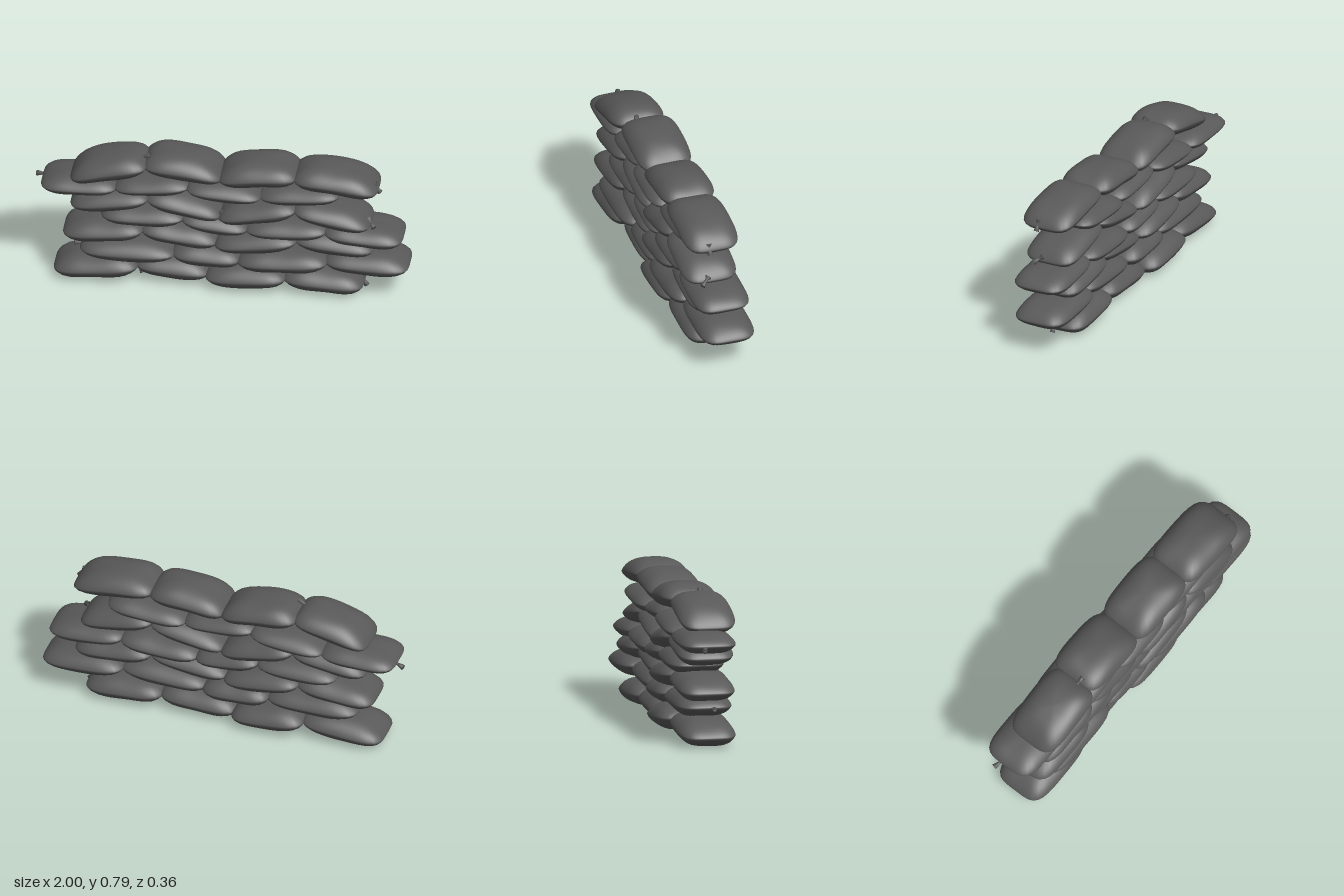
import * as THREE from 'three';
import { mergeVertices } from 'three/addons/utils/BufferGeometryUtils.js';

// Courses from the ground up: x and y of the joints between bags, z of each bag, half thickness, arch of the midline
const COURSES = [
  { x: [-0.89, -0.45, -0.07, 0.34, 0.76], y: [0.06, 0.1, 0.07, 0.09, 0.065], z: [0.01, -0.03, 0.01, -0.01], thick: 0.073, arch: 0.003 },
  { x: [-0.75, -0.25, 0.1, 0.56, 1], y: [0.2, 0.2, 0.185, 0.21, 0.19], z: [0.02, 0, 0.02, -0.015], thick: 0.069, arch: 0 },
  { x: [-0.84, -0.42, -0.02, 0.4, 0.82], y: [0.29, 0.33, 0.28, 0.335, 0.295], z: [0.015, -0.01, 0.02, -0.01], thick: 0.068, arch: 0 },
  { x: [-0.64, -0.2, 0.14, 0.56, 0.97], y: [0.41, 0.42, 0.38, 0.4, 0.37], z: [0, 0, 0, 0.005], thick: 0.063, arch: -0.004 },
  { x: [-0.8, -0.39, 0, 0.4, 0.8], y: [0.47, 0.53, 0.45, 0.53, 0.455], z: [0.015, 0, 0.02, 0.02], thick: 0.067, arch: 0.003 },
  { x: [-0.96, -0.56, -0.17, 0.21, 0.64], y: [0.565, 0.575, 0.615, 0.59, 0.62], z: [-0.005, -0.01, 0.015, -0.005], thick: 0.059, arch: 0 },
  { x: [-0.8, -0.4, 0, 0.4, 0.84], y: [0.635, 0.73, 0.68, 0.72, 0.67], z: [0.025, 0.005, 0.012, 0.022], thick: 0.073, arch: 0.018 },
];
const OVERLAP = 0.014;

// Tied necks: position, then direction
const TIES = [
  [0.745, 0.075, 0, 0.5, -0.9, 0], [-0.44, 0.08, 0.03, 0.4, -0.9, 0.2],
  [-0.735, 0.195, 0.04, -1, 0.1, 0.2], [0.79, 0.468, 0.055, 0.5, -0.4, 0.6],
  [-0.02, 0.465, 0.07, 0.7, 0.2, 0.5], [-0.95, 0.56, -0.035, -1, -0.2, -0.3],
  [-0.42, 0.755, 0.05, 0.9, 0.5, 0.1], [0.82, 0.69, 0.055, 0.5, -0.8, 0],
];

// A pillow: rounded-rectangle plan, domed above and below, bent along its midline
function bagGeometry(length, rise, thick, arch, seed) {
  let g = new THREE.SphereGeometry(1, 48, 24);
  g.deleteAttribute('uv');
  g.deleteAttribute('normal');
  g = mergeVertices(g, 1e-5);
  const p = g.attributes.position;
  const n = 4.5;
  for (let i = 0; i < p.count; i++) {
    const r = Math.min(1, Math.hypot(p.getX(i), p.getZ(i)));
    const a = Math.atan2(p.getZ(i), p.getX(i));
    const c = Math.cos(a), s = Math.sin(a);
    const reach = r / Math.pow(Math.abs(c) ** n + Math.abs(s) ** n, 1 / n);
    const u = c * reach, v = s * reach;
    const dome = Math.pow(Math.max(0, 1 - r ** 3.2), 0.72);
    const side = Math.abs(p.getY(i)) < 1e-6 ? 0 : Math.sign(p.getY(i));
    const dent = 1 - 0.05 * r * (1 + Math.sin(5 * u + 3 * v + seed));
    const y = rise / 2 * u + arch * (1 - u * u) + side * thick * dome * dent;
    p.setXYZ(i, u * length / 2, y, v * 0.153 * (1 - 0.03 * u * u));
  }
  g.computeVertexNormals();
  return g;
}

export function createModel() {
  const group = new THREE.Group();
  group.name = 'sandbagWall';
  const cloth = new THREE.MeshStandardMaterial({ color: 0x595959, side: THREE.DoubleSide });
  cloth.name = 'darkGreyCloth';

  // Staggered courses of four bags, each overlapping its neighbours
  COURSES.forEach(({ x, y, z, thick, arch }, j) => {
    const course = new THREE.Group();
    course.name = `course${j + 1}`;
    z.forEach((depth, i) => {
      const x0 = x[i] - (i > 0 ? OVERLAP : 0);
      const x1 = x[i + 1] + (i < 3 ? OVERLAP : 0);
      const geometry = bagGeometry(x1 - x0, y[i + 1] - y[i], thick, arch, j * 2.3 + i * 1.7);
      const bag = new THREE.Mesh(geometry, cloth);
      bag.name = `sandbag${i + 1}`;
      bag.position.set((x0 + x1) / 2, (y[i] + y[i + 1]) / 2, depth);
      course.add(bag);
    });
    group.add(course);
  });

  // Gathered necks that flare beyond the tie
  const profile = [[0.018, -0.012], [0.01, 0.004], [0.007, 0.012], [0.01, 0.022], [0.015, 0.048], [0.004, 0.044]]
    .map(([r, h]) => new THREE.Vector2(r, h));
  const neck = new THREE.LatheGeometry(profile, 10);
  const up = new THREE.Vector3(0, 1, 0);
  for (const [x, y, z, dx, dy, dz] of TIES) {
    const tie = new THREE.Mesh(neck, cloth);
    tie.name = 'tiedNeck';
    tie.position.set(x, y, z);
    tie.quaternion.setFromUnitVectors(up, new THREE.Vector3(dx, dy, dz).normalize());
    group.add(tie);
  }
  return group;
}
